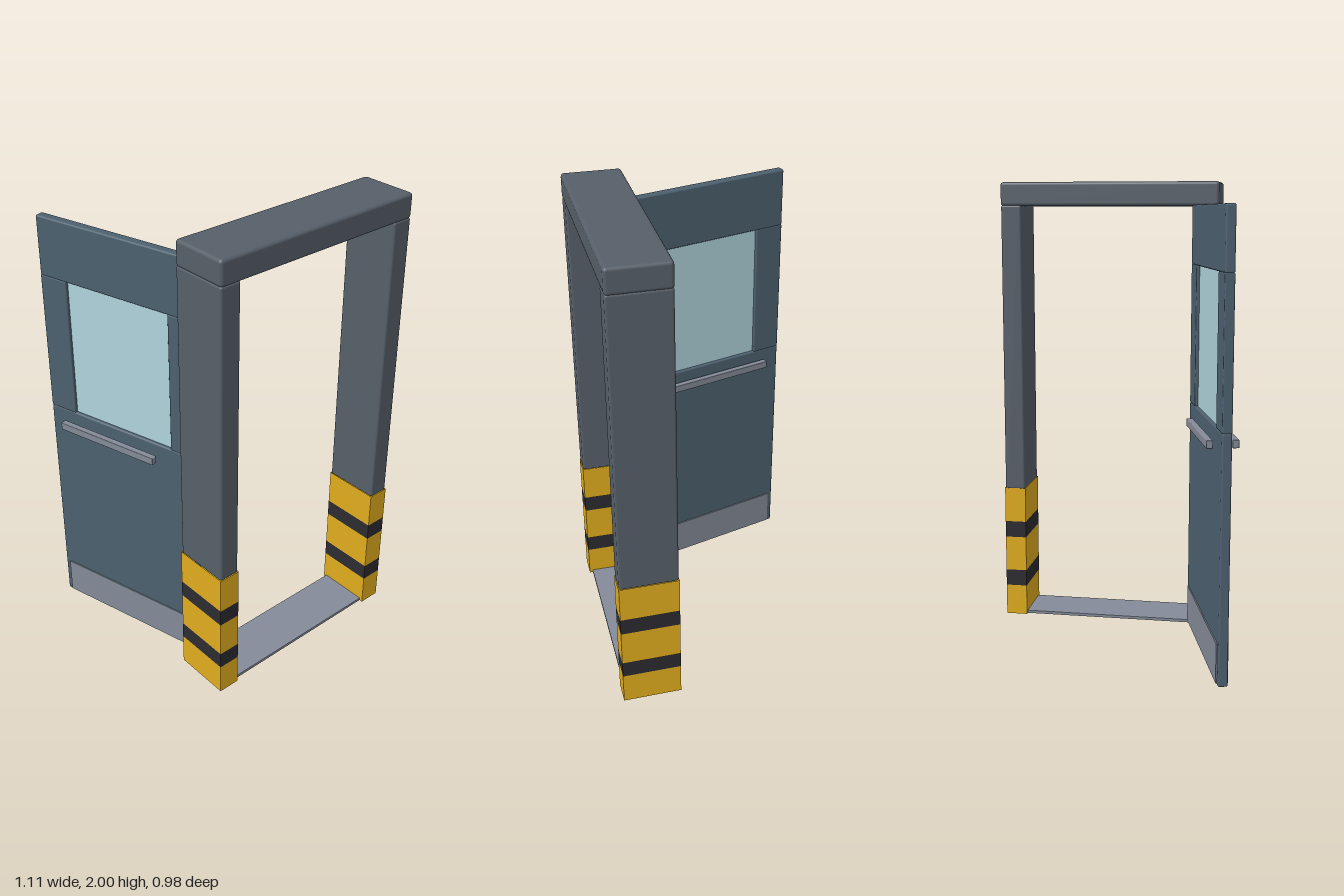
import * as THREE from 'three';
import { RoundedBoxGeometry } from 'three/addons/geometries/RoundedBoxGeometry.js';

const mat = (color, extra = {}) => {
  const m = new THREE.MeshStandardMaterial({ color });
  return Object.assign(m, extra);
};

const frameMat = mat(0x565f69);
const doorMat = mat(0x4d6170);
const steelMat = mat(0x848b98);
const glassMat = mat(0xb0d4dc);
const yellowMat = mat(0xe0ac1e, { side: THREE.DoubleSide });
const blackMat = mat(0x2b2b31, { side: THREE.DoubleSide });

// Box given by its extents on each axis; a radius rounds the edges
function block(parent, name, material, [x0, x1], [y0, y1], [z0, z1], radius = 0) {
  const size = [x1 - x0, y1 - y0, z1 - z0];
  const geometry = radius
    ? new RoundedBoxGeometry(...size, 2, radius)
    : new THREE.BoxGeometry(...size);
  const mesh = new THREE.Mesh(geometry, material);
  mesh.name = name;
  mesh.position.set((x0 + x1) / 2, (y0 + y1) / 2, (z0 + z1) / 2);
  parent.add(mesh);
  return mesh;
}

// Four upright walls, open at top and bottom
function openBand(parent, name, material, width, depth, y0, y1) {
  const band = new THREE.Group();
  band.name = name;
  for (let i = 0; i < 4; i++) {
    const across = i % 2 ? depth : width;
    const out = (i % 2 ? width : depth) / 2;
    const geometry = new THREE.PlaneGeometry(across, y1 - y0);
    geometry.translate(0, (y0 + y1) / 2, out);
    geometry.rotateY((i * Math.PI) / 2);
    band.add(new THREE.Mesh(geometry, material));
  }
  parent.add(band);
}

export function createModel() {
  const model = new THREE.Group();
  model.name = 'openDoorway';

  // Frame: lintel, two jambs and a threshold
  const frame = new THREE.Group();
  frame.name = 'frame';
  model.add(frame);
  block(frame, 'lintel', frameMat, [-0.417, 0.555], [1.895, 2], [0.24, 0.489], 0.014);
  block(frame, 'threshold', steelMat, [-0.322, 0.46], [0, 0.013], [0.255, 0.475]);

  for (const [side, x] of [['right', -0.37], ['left', 0.507]]) {
    block(frame, side + 'Jamb', frameMat, [x - 0.046, x + 0.046], [0.605, 1.9], [0.241, 0.488], 0.01);

    // Hollow striped guard around the foot of the jamb
    const guard = new THREE.Group();
    guard.name = side + 'HazardGuard';
    guard.position.set(x, 0, 0.3645);
    const levels = [0, 0.14, 0.215, 0.375, 0.45, 0.61];
    for (let i = 0; i < 5; i++) {
      const dark = i % 2 === 1;
      openBand(guard, dark ? 'blackStripe' : 'yellowStripe', dark ? blackMat : yellowMat,
        0.096, 0.25, levels[i], levels[i + 1]);
    }
    frame.add(guard);
  }

  // Door leaf, swung open about its hinge edge; it runs along local -z
  const door = new THREE.Group();
  door.name = 'door';
  door.position.set(-0.32, 0, 0.249);
  door.rotation.y = THREE.MathUtils.degToRad(15);
  model.add(door);

  const length = 0.76;
  const stile = 0.13;
  const thick = [-0.02, 0.02];
  block(door, 'lowerPanel', doorMat, thick, [0.018, 1.04], [-length, 0], 0.007);
  block(door, 'topPanel', doorMat, thick, [1.645, 1.9], [-length, 0], 0.007);
  block(door, 'hingeStile', doorMat, thick, [1.038, 1.647], [-stile, 0], 0.005);
  block(door, 'outerStile', doorMat, thick, [1.038, 1.647], [-length, stile - length], 0.005);
  block(door, 'windowPane', glassMat, [-0.006, 0.006], [1.035, 1.65], [-length + stile - 0.005, -stile + 0.005]);

  // Kick plates and push bars on both faces
  for (const s of [-1, 1]) {
    const kick = block(door, 'kickPlate', steelMat, [-0.003, 0.003], [0.025, 0.19], [-0.735, -0.025]);
    kick.position.x = s * 0.022;
    const bar = block(door, 'pushBar', steelMat, [-0.0135, 0.0135], [0.965, 0.998], [-0.675, -0.19], 0.003);
    bar.position.x = s * 0.052;
  }

  return model;
}
